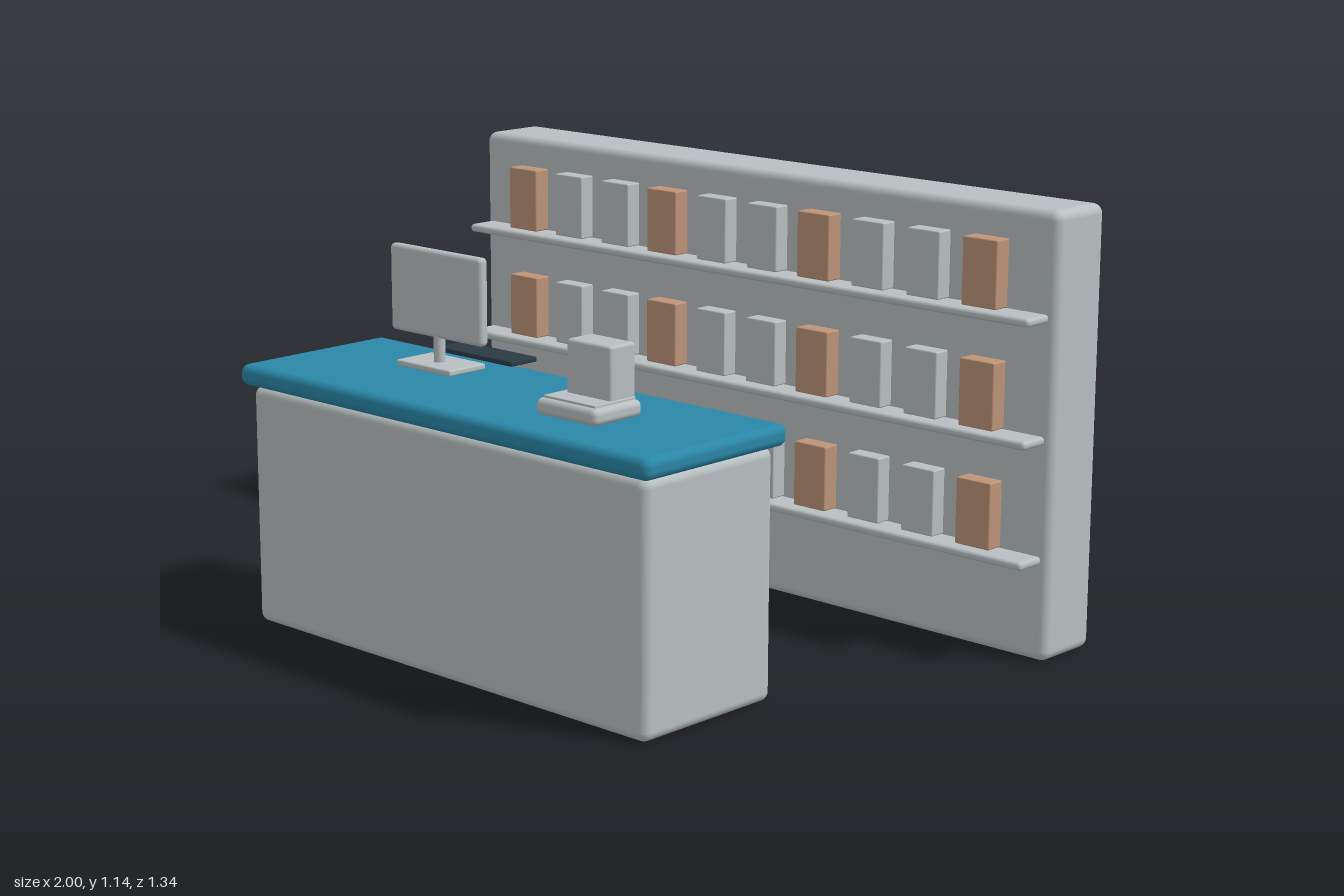
import * as THREE from 'three';
import { RoundedBoxGeometry } from 'three/addons/geometries/RoundedBoxGeometry.js';

function makeMaterial(name, color) {
  const m = new THREE.MeshStandardMaterial({ color });
  m.name = name;
  return m;
}

export function createModel() {
  const grey = makeMaterial('pale grey', 0xb9c0c1);
  const teal = makeMaterial('teal', 0x2a87a8);
  const tan = makeMaterial('tan', 0xbd9478);
  const dark = makeMaterial('dark slate', 0x2b3a45);

  const model = new THREE.Group();
  model.name = 'shopCounter';

  // Box given by its extents on each axis; r > 0 rounds the edges
  function box(parent, name, mat, [x0, x1], [y0, y1], [z0, z1], r = 0) {
    const size = [x1 - x0, y1 - y0, z1 - z0];
    const geo = r > 0 ? new RoundedBoxGeometry(...size, 4, r) : new THREE.BoxGeometry(...size);
    const mesh = new THREE.Mesh(geo, mat);
    mesh.name = name;
    mesh.position.set((x0 + x1) / 2, (y0 + y1) / 2, (z0 + z1) / 2);
    parent.add(mesh);
    return mesh;
  }
  function group(name) {
    const g = new THREE.Group();
    g.name = name;
    model.add(g);
    return g;
  }

  // Back wall with three shelves of boxed goods
  const display = group('wallDisplay');
  box(display, 'wall', grey, [-1, 1], [0, 1.14], [-0.672, -0.475], 0.025);
  for (let row = 0; row < 3; row++) {
    const y = 0.252 + row * 0.306;
    box(display, 'shelf', grey, [-0.98, 0.98], [y, y + 0.022], [-0.48, -0.39], 0.01);
    for (let i = 0; i < 10; i++) {
      const x = -0.802 + i * 0.1782;
      const accent = i % 3 === 0;
      const half = accent ? 0.053 : 0.051;
      box(display, accent ? 'tanProduct' : 'greyProduct', accent ? tan : grey,
        [x - half, x + half], [y + 0.022, y + 0.195], [-0.478, accent ? -0.427 : -0.43], 0.004);
    }
  }

  // Counter
  const counter = group('counter');
  box(counter, 'counterBody', grey, [-0.695, 0.695], [0, 0.63], [0.205, 0.65], 0.025);
  box(counter, 'counterTop', teal, [-0.72, 0.72], [0.631, 0.686], [0.182, 0.672], 0.022);

  // Monitor facing the clerk, toward the wall
  const monitor = group('monitor');
  box(monitor, 'monitorBase', grey, [-0.402, -0.202], [0.69, 0.706], [0.29, 0.415], 0.005);
  const neck = new THREE.Mesh(new THREE.CylinderGeometry(0.015, 0.015, 0.1, 20), grey);
  neck.name = 'monitorNeck';
  neck.position.set(-0.302, 0.74, 0.356);
  monitor.add(neck);
  box(monitor, 'monitorCase', grey, [-0.47, -0.134], [0.768, 0.993], [0.341, 0.371], 0.012);
  box(monitor, 'monitorScreen', dark, [-0.453, -0.151], [0.783, 0.977], [0.336, 0.342]);

  // Fine wavy traces on the screen
  for (let line = 0; line < 6; line++) {
    const points = [];
    for (let i = 0; i <= 24; i++) {
      points.push(new THREE.Vector3(-0.435 + i * 0.0111,
        0.803 + line * 0.031 + 0.003 * Math.sin(i * 1.3 + line), 0.336));
    }
    const trace = new THREE.Mesh(
      new THREE.TubeGeometry(new THREE.CatmullRomCurve3(points), 48, 0.002, 6), teal);
    trace.name = 'screenTrace';
    monitor.add(trace);
  }

  // Keyboard reaching past the clerk's edge
  const keyboard = group('keyboard');
  box(keyboard, 'keyboardSlab', dark, [-0.44, -0.165], [0.693, 0.706], [0.145, 0.236], 0.003);

  // Receipt printer
  const printer = group('receiptPrinter');
  box(printer, 'printerBase', grey, [0.255, 0.455], [0.696, 0.738], [0.402, 0.566], 0.016);
  box(printer, 'printerLid', grey, [0.27, 0.44], [0.736, 0.744], [0.412, 0.55], 0.002);
  box(printer, 'printerTower', grey, [0.288, 0.434], [0.73, 0.874], [0.406, 0.492], 0.008);

  return model;
}
